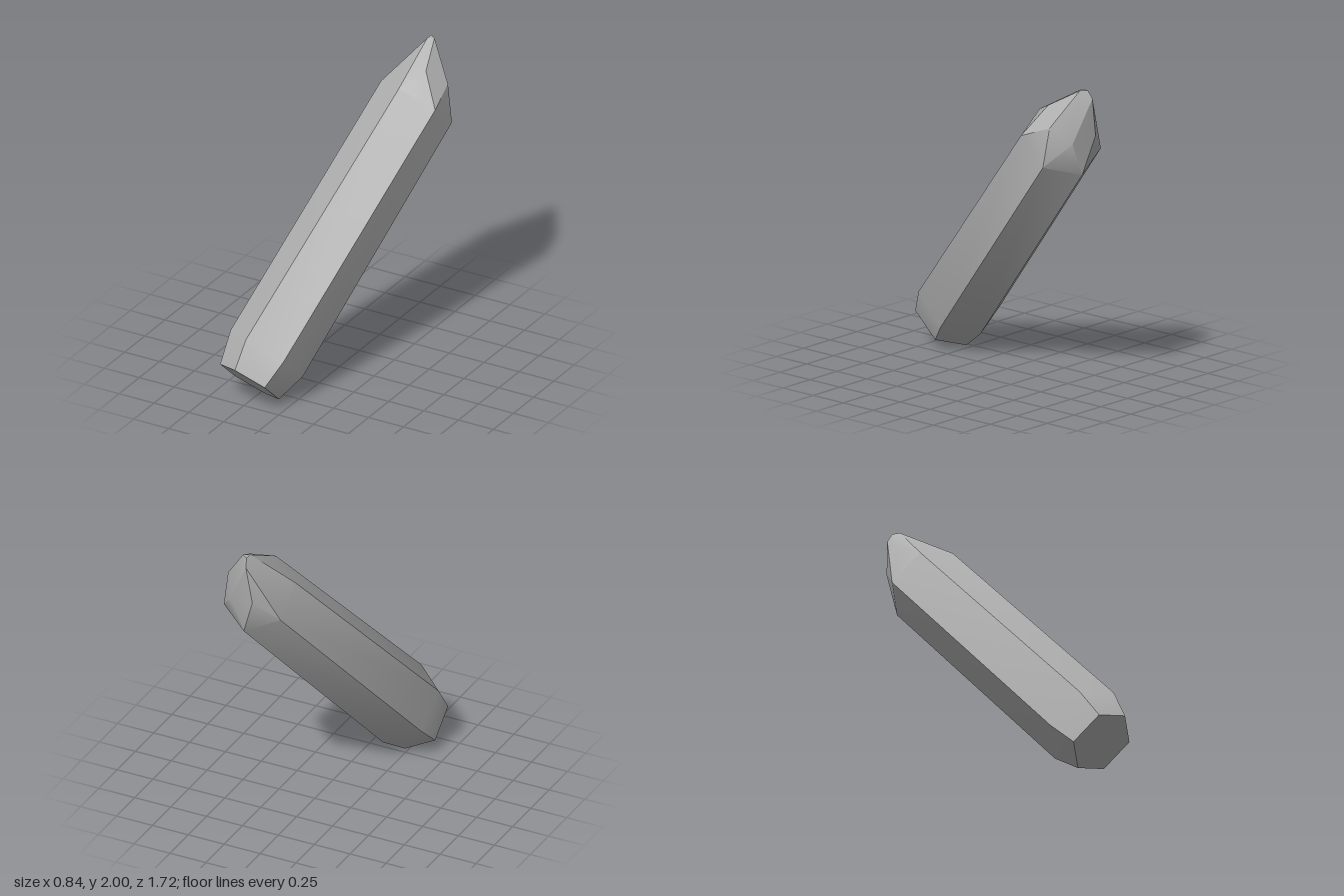
import * as THREE from 'three';
import { ConvexGeometry } from 'three/addons/geometries/ConvexGeometry.js';
import { toCreasedNormals } from 'three/addons/utils/BufferGeometryUtils.js';

// Six-sided ring: three neighbouring corners, the other three mirrored through the centre
function hexRing(centre, corners) {
  const c = new THREE.Vector3(...centre);
  const near = corners.map((p) => new THREE.Vector3(...p));
  const far = near.map((p) => c.clone().multiplyScalar(2).sub(p));
  return [...near, ...far];
}

export function createModel() {
  const group = new THREE.Group();
  group.name = 'crystal';
  const stone = new THREE.MeshStandardMaterial({ color: 0xb0b0b0 });
  stone.name = 'grey stone';

  // Flat foot, where the shaft begins to taper, and the shoulder under the point
  const foot = hexRing([-0.238, 0.152, 0.7], [[-0.42, 0.25, 0.75], [-0.25, 0.3, 0.86], [-0.06, 0.21, 0.82]]);
  const base = hexRing([-0.19, 0.305, 0.57], [[-0.42, 0.43, 0.62], [-0.22, 0.485, 0.775], [0.02, 0.37, 0.72]]);
  const shoulder = hexRing([0.195, 1.63, -0.62], [[-0.03, 1.74, -0.57], [0.18, 1.805, -0.43], [0.41, 1.69, -0.48]]);

  // Uneven facets of the pointed end
  const tip = [
    [0.28, 1.88, -0.59], [0.38, 1.77, -0.69], [0.3, 1.67, -0.81], [0.13, 1.7, -0.85],
    [0.18, 2, -0.78], [0.22, 2, -0.8], [0.18, 2, -0.83], [0.17, 1.95, -0.86],
  ].map((p) => new THREE.Vector3(...p));

  const geometry = toCreasedNormals(new ConvexGeometry([...foot, ...base, ...shoulder, ...tip]), 0.5);
  const shard = new THREE.Mesh(geometry, stone);
  shard.name = 'crystalShard';
  group.add(shard);
  return group;
}
